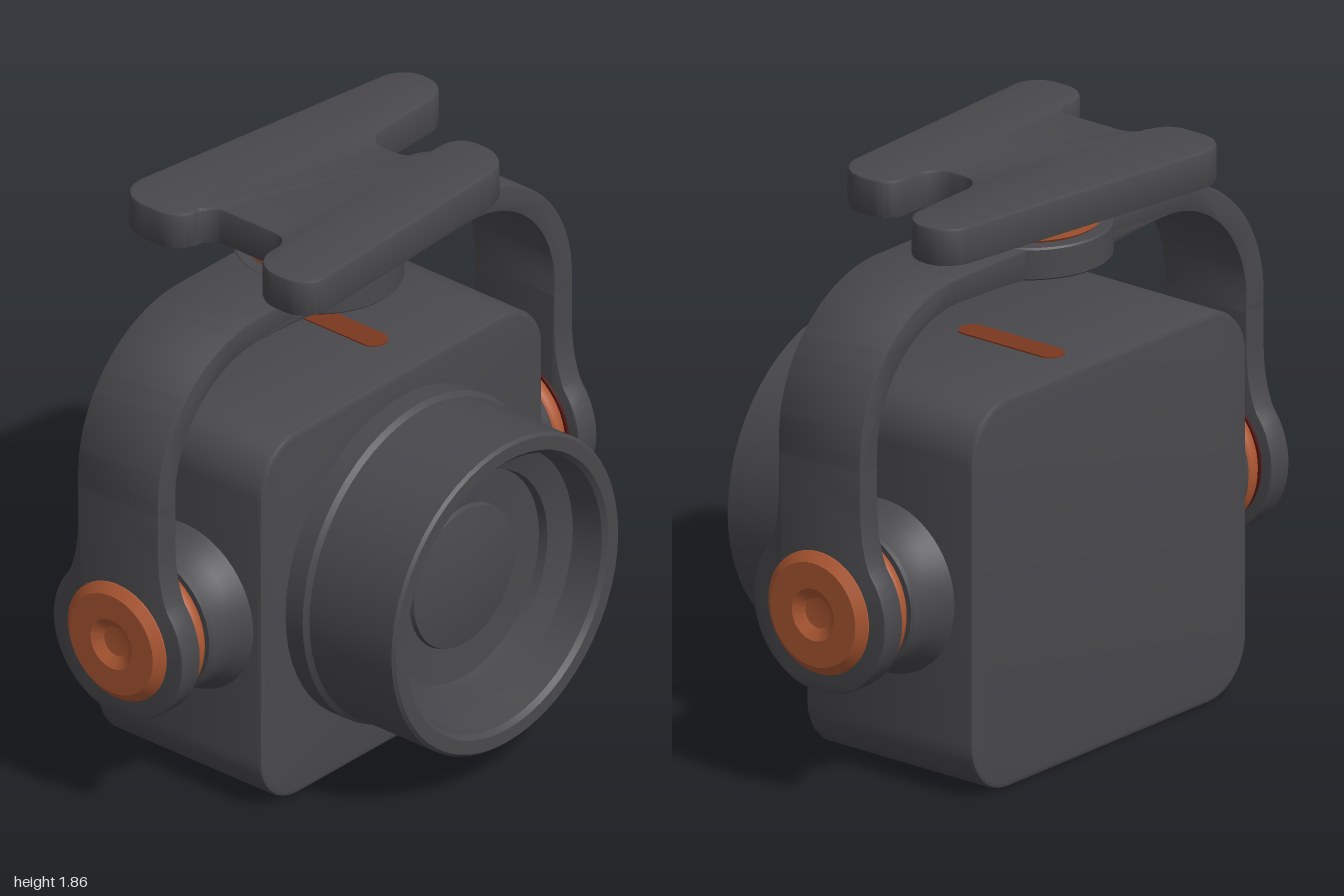
import * as THREE from 'three';
import { toCreasedNormals } from 'three/addons/utils/BufferGeometryUtils.js';

const material = (name, color) => Object.assign(new THREE.MeshStandardMaterial({ color }), { name });
const PIVOT_Y = 0.63, PIVOT_Z = -0.165;

// Polygon with softened corners; each point is [x, y, cut length]
function softPolygon(points) {
  const shape = new THREE.Shape();
  const n = points.length;
  points.forEach(([x, y, r], i) => {
    const c = new THREE.Vector2(x, y);
    const toward = (p) => new THREE.Vector2(p[0], p[1]).sub(c).setLength(r).add(c);
    const a = toward(points[(i + n - 1) % n]), b = toward(points[(i + 1) % n]);
    if (i === 0) shape.moveTo(a.x, a.y); else shape.lineTo(a.x, a.y);
    const k = 0.56; // circle-like corner
    const h1 = a.clone().lerp(c, k), h2 = b.clone().lerp(c, k);
    shape.bezierCurveTo(h1.x, h1.y, h2.x, h2.y, b.x, b.y);
  });
  shape.closePath();
  return shape;
}

// Extrusion whose total size includes its bevel
function extrude(shape, depth, bevel = 0.01) {
  const g = new THREE.ExtrudeGeometry(shape, {
    depth: depth - 2 * bevel, bevelEnabled: true, bevelThickness: bevel,
    bevelSize: bevel, bevelOffset: -bevel, bevelSegments: 2, curveSegments: 16,
  });
  return toCreasedNormals(g.translate(0, 0, bevel), 0.6);
}

// Turned part: [radius, height] pairs from bottom to top
function turned(profile) {
  const pts = profile.map(([r, h]) => new THREE.Vector2(r, h));
  return toCreasedNormals(new THREE.LatheGeometry(pts, 56), 0.5);
}

export function createModel() {
  const model = new THREE.Group();
  model.name = 'gimbalCamera';
  const grey = material('charcoal', 0x49494d);
  const orange = material('copperOrange', 0xac5732);
  const rust = material('rust', 0x7c3820);
  const red = material('darkRed', 0x4f1212);

  const add = (parent, name, geometry, mat) => {
    const mesh = new THREE.Mesh(geometry, mat);
    mesh.name = name;
    parent.add(mesh);
    return mesh;
  };

  // Camera body
  const R = 0.18;
  const bodyShape = softPolygon([[-0.66, 0, R], [0.66, 0, R], [0.66, 1.28, R], [-0.66, 1.28, R]]);
  add(model, 'cameraBody', extrude(bodyShape, 0.67, 0.015).translate(0, 0, -0.52), grey);

  // Lens barrel with recessed front and domed glass
  const lens = turned([
    [0.545, 0.14], [0.545, 0.22], [0.53, 0.235], [0.53, 0.57], [0.52, 0.58], [0.475, 0.58],
    [0.46, 0.565], [0.445, 0.46], [0.36, 0.43], [0.355, 0.40], [0.24, 0.39],
  ]).rotateX(Math.PI / 2);
  add(model, 'lensBarrel', lens, grey).position.y = 0.655;
  const glass = turned([[0.24, 0.39], [0.235, 0.405], [0.16, 0.42], [0.08, 0.428], [0, 0.43]]).rotateX(Math.PI / 2);
  add(model, 'lensGlass', glass, grey).position.y = 0.655;

  // Painted slot on top of the body
  const slot = softPolygon([[-0.045, -0.2, 0.045], [0.045, -0.2, 0.045], [0.045, 0.2, 0.045], [-0.045, 0.2, 0.045]]);
  const slotGeometry = new THREE.ExtrudeGeometry(slot, { depth: 0.006, bevelEnabled: false }).rotateX(-Math.PI / 2);
  add(model, 'topSlot', slotGeometry, rust).position.set(0.1, 1.279, -0.21);

  // Arched yoke
  const arch = new THREE.Shape();
  arch.moveTo(0.97, 1.12);
  arch.lineTo(0.97, 1.165);
  arch.absarc(0.5, 1.165, 0.47, 0, Math.PI / 2, false);
  arch.absarc(-0.5, 1.165, 0.47, Math.PI / 2, Math.PI, false);
  arch.lineTo(-0.97, 1.12);
  arch.lineTo(-0.885, 1.12);
  arch.absarc(-0.5, 1.165, 0.385, Math.PI, Math.PI / 2, true);
  arch.quadraticCurveTo(-0.35, 1.545, -0.25, 1.535);
  arch.lineTo(0.2, 1.535);
  arch.quadraticCurveTo(0.3, 1.545, 0.5, 1.55);
  arch.absarc(0.5, 1.165, 0.385, Math.PI / 2, 0, true);
  arch.lineTo(0.885, 1.12);
  arch.closePath();
  add(model, 'yokeArch', extrude(arch, 0.33, 0.006).translate(0, 0, -0.33), grey);

  // Arm end: strip flowing into a round eye
  const eye = new THREE.Shape();
  const a = THREE.MathUtils.degToRad(40), r = 0.265;
  eye.moveTo(0.165, 0.53);
  eye.lineTo(0.165, 0.37);
  eye.quadraticCurveTo(0.165, 0.25, r * Math.cos(a), r * Math.sin(a));
  eye.absarc(0, 0, r, a, Math.PI - a, true);
  eye.quadraticCurveTo(-0.165, 0.25, -0.165, 0.37);
  eye.lineTo(-0.165, 0.53);
  eye.closePath();
  const armGeometry = extrude(eye, 0.085, 0.006).rotateY(Math.PI / 2).translate(0.885, 0, 0);

  // Side pivot parts, turned about the x axis
  const alongX = (g) => g.rotateZ(-Math.PI / 2);
  const hub = alongX(turned([[0.29, 0.65], [0.275, 0.675], [0.25, 0.715], [0.243, 0.80], [0.235, 0.81], [0, 0.81]]));
  const shaft = alongX(turned([[0.215, 0.80], [0.215, 0.875], [0.225, 0.876], [0.225, 0.886], [0, 0.886]]));
  const ring = new THREE.TorusGeometry(0.203, 0.033, 14, 56).rotateY(Math.PI / 2).translate(0.843, 0, 0);
  const cap = alongX(turned([
    [0.2, 0.96], [0.2, 0.975], [0.17, 1.0], [0.085, 1.0], [0.07, 0.99], [0.05, 0.976], [0, 0.972],
  ]));
  for (const side of ['left', 'right']) {
    const pivot = new THREE.Group();
    pivot.name = side + 'Pivot';
    pivot.position.set(0, PIVOT_Y, PIVOT_Z);
    pivot.rotation.y = side === 'left' ? 0 : Math.PI;
    add(pivot, side + 'Arm', armGeometry, grey);
    add(pivot, side + 'Hub', hub, grey);
    add(pivot, side + 'Shaft', shaft, red);
    add(pivot, side + 'Ring', ring, orange);
    add(pivot, side + 'Cap', cap, orange);
    model.add(pivot);
  }

  // Top swivel: round boss, ring and flared neck
  const swivel = new THREE.Group();
  swivel.name = 'topSwivel';
  swivel.position.set(-0.03, 0, PIVOT_Z);
  add(swivel, 'swivelBoss', turned([[0, 1.532], [0.26, 1.532], [0.265, 1.537], [0.265, 1.632], [0.26, 1.638], [0, 1.638]]), grey);
  add(swivel, 'swivelRing', turned([[0.2, 1.636], [0.222, 1.64], [0.232, 1.65], [0.232, 1.674], [0.222, 1.684], [0.2, 1.688]]), orange);
  add(swivel, 'swivelNeck', turned([[0.2, 1.685], [0.215, 1.69], [0.25, 1.705], [0.265, 1.72], [0.265, 1.74]]), grey);
  model.add(swivel);

  // Mounting plate with notched sides, listed as [x, z, cut]
  const plate = [
    [-0.56, 0.257, 0.1], [0.47, 0.2, 0.12], [0.47, -0.03, 0.08], [0.26, -0.03, 0.08],
    [0.26, -0.225, 0.08], [0.67, -0.24, 0.09], [0.69, -0.437, 0.1], [-0.5, -0.605, 0.13],
    [-0.5, -0.32, 0.09], [-0.365, -0.32, 0.065], [-0.365, 0.01, 0.065], [-0.56, 0.01, 0.11],
  ].map(([x, z, cut]) => [x, -z, cut]);
  const plateGeometry = extrude(softPolygon(plate), 0.125, 0.01).rotateX(-Math.PI / 2);
  add(model, 'mountingPlate', plateGeometry, grey).position.y = 1.735;

  return model;
}
